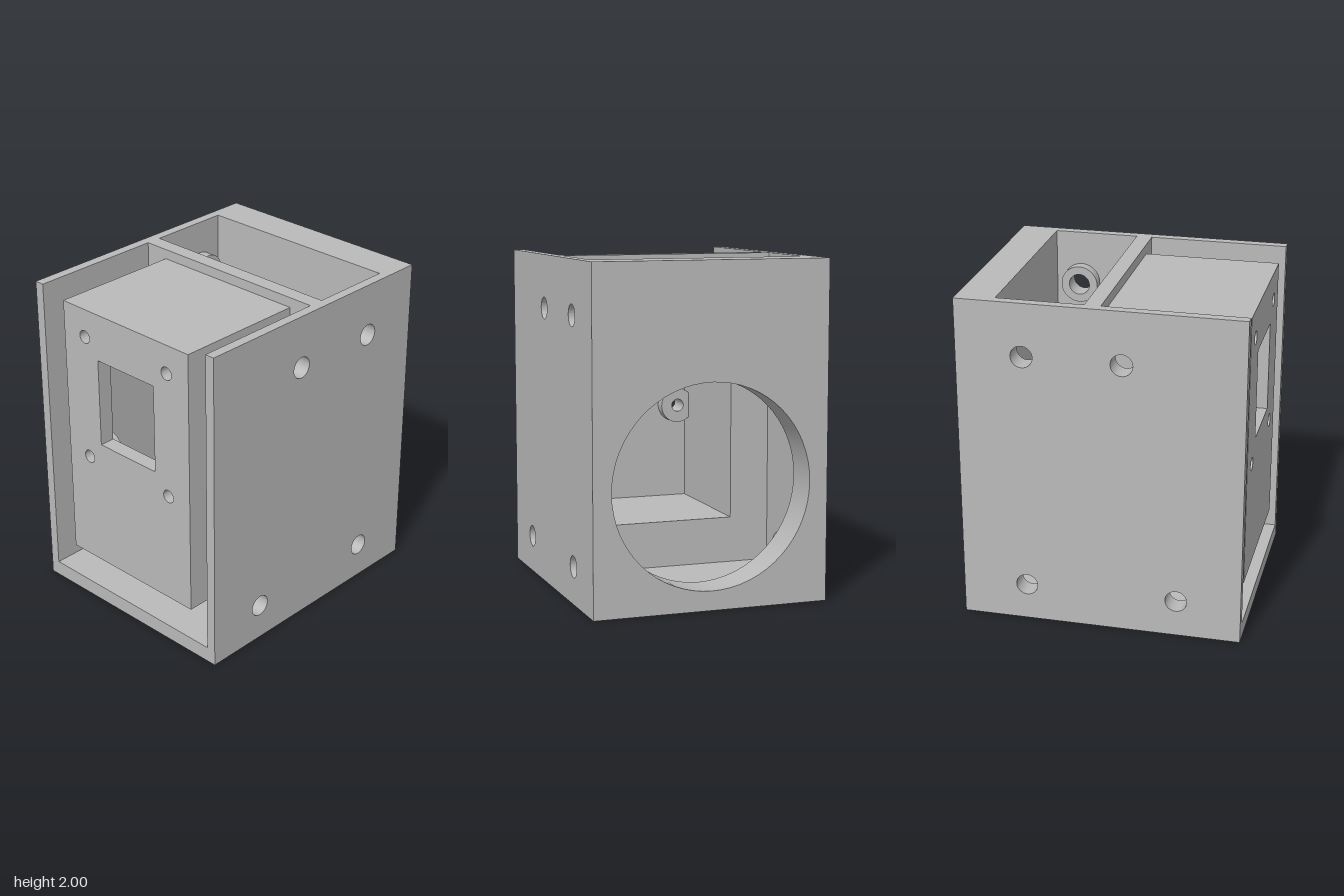
import * as THREE from 'three';
import { toCreasedNormals } from 'three/addons/utils/BufferGeometryUtils.js';

const grey = new THREE.MeshStandardMaterial({ color: 0xbababa });
grey.name = 'plain grey';

// Outline helpers
function rect(u0, u1, y0, y1, Type = THREE.Shape) {
  return new Type([[u0, y0], [u1, y0], [u1, y1], [u0, y1]].map(p => new THREE.Vector2(...p)));
}
function circle(u, y, r, Type = THREE.Path) {
  const c = new Type();
  c.absarc(u, y, r, 0, Math.PI * 2, false);
  return c;
}

export function createModel() {
  const model = new THREE.Group();
  model.name = 'housing';

  function add(name, geometry) {
    const mesh = new THREE.Mesh(geometry, grey);
    mesh.name = name;
    model.add(mesh);
  }
  function extrude(shape, holes, depth) {
    shape.holes.push(...holes);
    const g = new THREE.ExtrudeGeometry(shape, { depth, bevelEnabled: false, curveSegments: 32 });
    return toCreasedNormals(g, 0.5);
  }
  // Plate drawn in x,y and thickened from z0 to z1
  const plateZ = (name, shape, holes, z0, z1) =>
    add(name, extrude(shape, holes, z1 - z0).translate(0, 0, z0));
  // Plate drawn in z,y (symmetric in z) and thickened from x0 to x1
  const plateX = (name, shape, holes, x0, x1) =>
    add(name, extrude(shape, holes, x1 - x0).rotateY(Math.PI / 2).translate(x0, 0, 0));

  // Front and back walls with screw holes and inner bosses
  const screws = [[-0.455, 0.225], [0.45, 0.225], [0.45, 1.68], [-0.13, 1.68]];
  for (const [side, z0, z1, b0, b1] of [
    ['front', 0.65, 0.71, 0.58, 0.65],
    ['back', -0.71, -0.65, -0.65, -0.58],
  ]) {
    plateZ(side + 'Wall', rect(-0.84, 0.84, 0, 2), screws.map(([x, y]) => circle(x, y, 0.065)), z0, z1);
    for (const [x, y] of screws) {
      plateZ(side + 'Boss', circle(x, y, 0.115, THREE.Shape), [circle(x, y, 0.065)], b0, b1);
    }
  }

  // Floor, thick end wall with round port, and partition with a large opening
  add('floor', new THREE.BoxGeometry(1.45, 0.095, 1.3).translate(-0.115, 0.0475, 0));
  plateX('portWall', rect(-0.65, 0.65, 0, 2), [circle(0, 0.715, 0.6)], 0.61, 0.84);
  const cavity = () => rect(-0.405, 0.405, 0.375, 1.85, THREE.Path);
  plateX('partition', rect(-0.65, 0.65, 0.095, 2), [cavity()], 0, 0.095);

  // Hollow box carried by the partition
  plateX('innerBoxSides', rect(-0.5, 0.5, 0.28, 1.94), [cavity()], -0.725, 0);

  // Its end plate with window, small screw holes and bosses
  const mounts = [];
  for (const z of [-0.33, 0.33]) for (const y of [0.98, 1.765]) mounts.push([z, y]);
  plateX('windowPlate', rect(-0.5, 0.5, 0.28, 1.94),
    [rect(-0.225, 0.225, 1.1, 1.65, THREE.Path), ...mounts.map(([z, y]) => circle(z, y, 0.04))],
    -0.82, -0.725);
  for (const [z, y] of mounts) {
    plateX('mountBoss', circle(z, y, 0.11, THREE.Shape), [circle(z, y, 0.04)], -0.725, -0.655);
  }

  return model;
}
